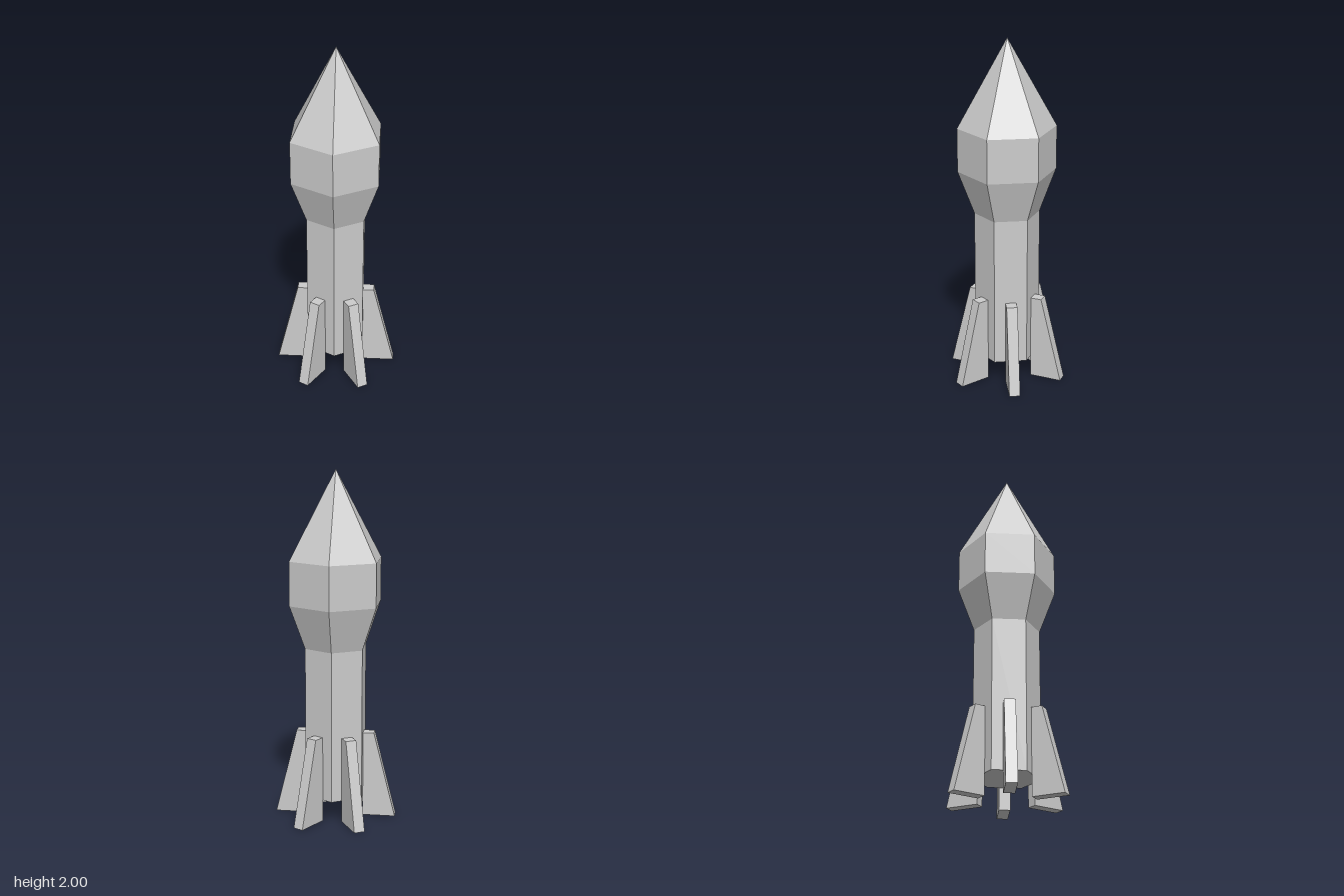
import * as THREE from 'three';

const SIDES = 6;
const FIN_WIDTH = 0.0625;
const BODY_RADIUS = 0.1875;
const BODY_APOTHEM = BODY_RADIUS * Math.cos(Math.PI / SIDES);

export function createModel() {
  const rocket = new THREE.Group();
  rocket.name = 'rocket';
  const material = new THREE.MeshStandardMaterial({ color: 0xcccccc, flatShading: true });

  // Six-sided hull: closed base, straight body, flared head and pointed nose
  const profile = [
    [0, 0.125], [BODY_RADIUS, 0.125], [BODY_RADIUS, 1],
    [0.28, 1.25], [0.28, 1.5], [0, 2],
  ].map(([r, y]) => new THREE.Vector2(r, y));
  const hull = new THREE.Mesh(new THREE.LatheGeometry(profile, SIDES, Math.PI / SIDES), material);
  hull.name = 'hull';
  rocket.add(hull);

  // Tapered fin standing on the ground, its inner edge against a hull face
  const finShape = new THREE.Shape([
    [BODY_APOTHEM, 0], [0.35, 0], [0.225, 0.5], [BODY_APOTHEM, 0.5],
  ].map(([x, y]) => new THREE.Vector2(x, y)));
  const finGeometry = new THREE.ExtrudeGeometry(finShape, { depth: FIN_WIDTH, bevelEnabled: false });
  finGeometry.translate(0, 0, -FIN_WIDTH / 2);

  // One fin in the middle of each hull face
  for (let i = 0; i < SIDES; i++) {
    const fin = new THREE.Mesh(finGeometry, material);
    fin.name = `fin${i + 1}`;
    fin.rotation.y = (i + 0.5) * 2 * Math.PI / SIDES;
    rocket.add(fin);
  }

  return rocket;
}
